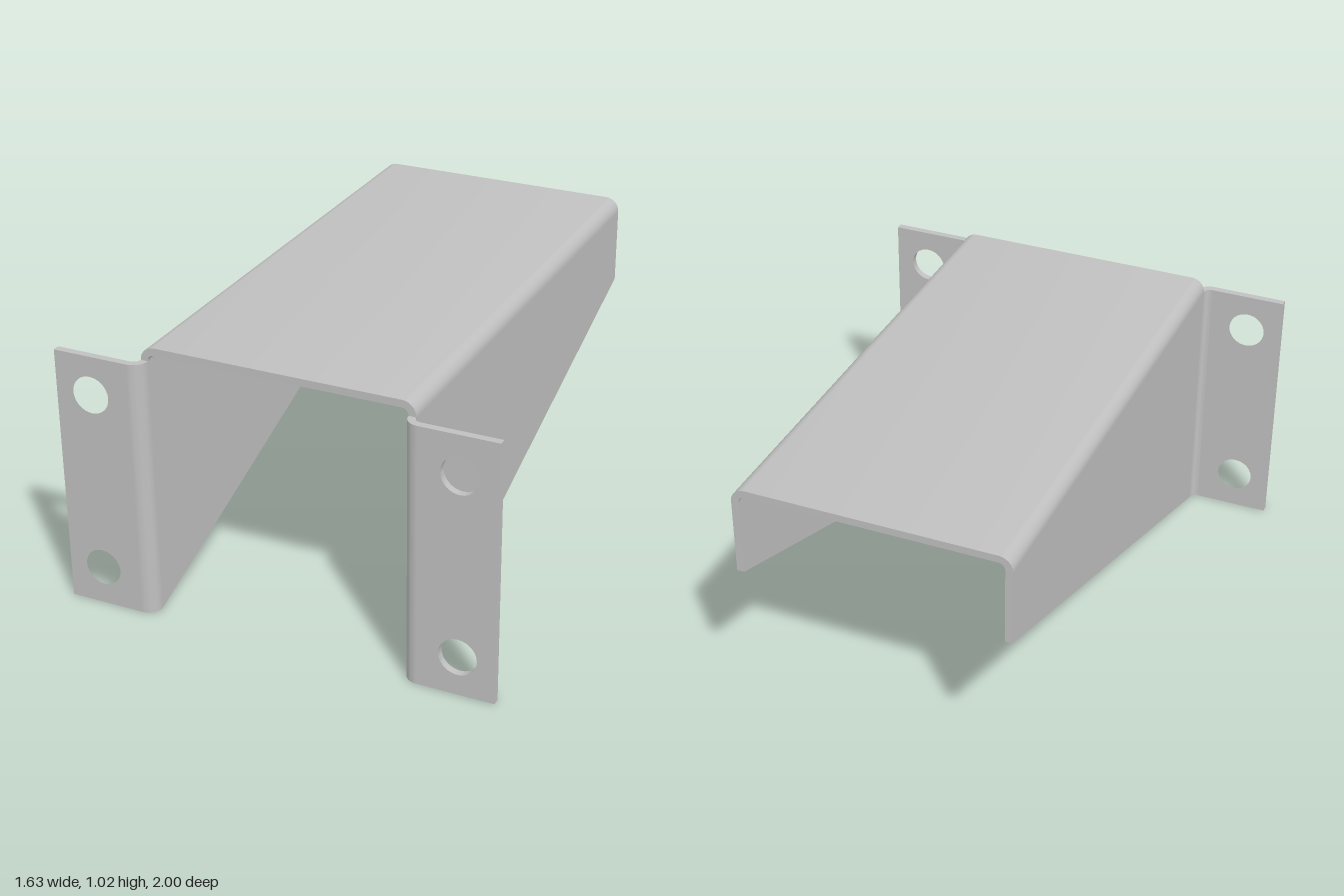
import * as THREE from 'three';
import { toCreasedNormals } from 'three/addons/utils/BufferGeometryUtils.js';

const T = 0.027;                 // sheet thickness
const R_IN = 0.025, R_OUT = R_IN + T;
const OUT = 0.505, INN = OUT - T; // side wall faces
const TOP = 1.025;
const BEND_Y = TOP - R_OUT;      // where the walls meet the top bends
const BACK = -1, FRONT = 1 - R_OUT;
const FLANGE_X = 0.815, BEND_X = INN + R_OUT;

const steel = new THREE.MeshStandardMaterial({ color: 0xc0c0c0 });
steel.name = 'steel grey';

// points along an arc, angles in quarter turns
function arc(cx, cy, r, q0, q1, n = 12) {
  return Array.from({ length: n + 1 }, (_, i) => {
    const a = (q0 + (q1 - q0) * i / n) * Math.PI / 2;
    return new THREE.Vector2(cx + r * Math.cos(a), cy + r * Math.sin(a));
  });
}

function extrude(shape, depth) {
  return new THREE.ExtrudeGeometry(shape, { depth, bevelEnabled: false, curveSegments: 24 });
}

function part(name, geometry) {
  const mesh = new THREE.Mesh(toCreasedNormals(geometry, 0.6), steel);
  mesh.name = name;
  return mesh;
}

// top plate with both rounded edges, run along z
function topPlate() {
  const cx = OUT - R_OUT;
  const section = new THREE.Shape([
    ...arc(cx, BEND_Y, R_OUT, 0, 1), ...arc(-cx, BEND_Y, R_OUT, 1, 2),
    ...arc(-cx, BEND_Y, R_IN, 2, 1), ...arc(cx, BEND_Y, R_IN, 1, 0),
  ]);
  return part('topPlate', extrude(section, FRONT - BACK).translate(0, 0, BACK));
}

// tapering side wall, drawn in the z-y plane
function sideWall(name, side) {
  const outline = new THREE.Shape([
    [FRONT, 0], [FRONT, BEND_Y], [BACK, BEND_Y], [BACK, 0.685],
  ].map(([z, y]) => new THREE.Vector2(-z, y)));
  const g = extrude(outline, T).rotateY(Math.PI / 2);
  return part(name, g.translate(side > 0 ? INN : -OUT, 0, 0));
}

// vertical bend from wall to flange, drawn in the x-z plane
function flangeBend(name, side) {
  const pts = [
    ...arc(BEND_X, FRONT, R_OUT, 2, 1), ...arc(BEND_X, FRONT, R_IN, 1, 2),
  ].map(p => new THREE.Vector2(side * p.x, -p.y));
  return part(name, extrude(new THREE.Shape(pts), BEND_Y).rotateX(-Math.PI / 2));
}

// mounting flange with two bolt holes
function flange(name, side) {
  const outline = new THREE.Shape([
    [BEND_X, 0], [FLANGE_X, 0], [FLANGE_X, BEND_Y], [BEND_X, BEND_Y],
  ].map(([x, y]) => new THREE.Vector2(side * x, y)));
  for (const y of [0.147, 0.828]) {
    outline.holes.push(new THREE.Path().absarc(side * 0.68, y, 0.069, 0, Math.PI * 2, true));
  }
  return part(name, extrude(outline, T).translate(0, 0, 1 - T));
}

export function createModel() {
  const model = new THREE.Group();
  model.name = 'mountingBracket';
  model.add(topPlate());
  for (const [label, side] of [['left', 1], ['right', -1]]) {
    model.add(
      sideWall(label + 'Wall', side),
      flangeBend(label + 'FlangeBend', side),
      flange(label + 'Flange', side),
    );
  }
  return model;
}
